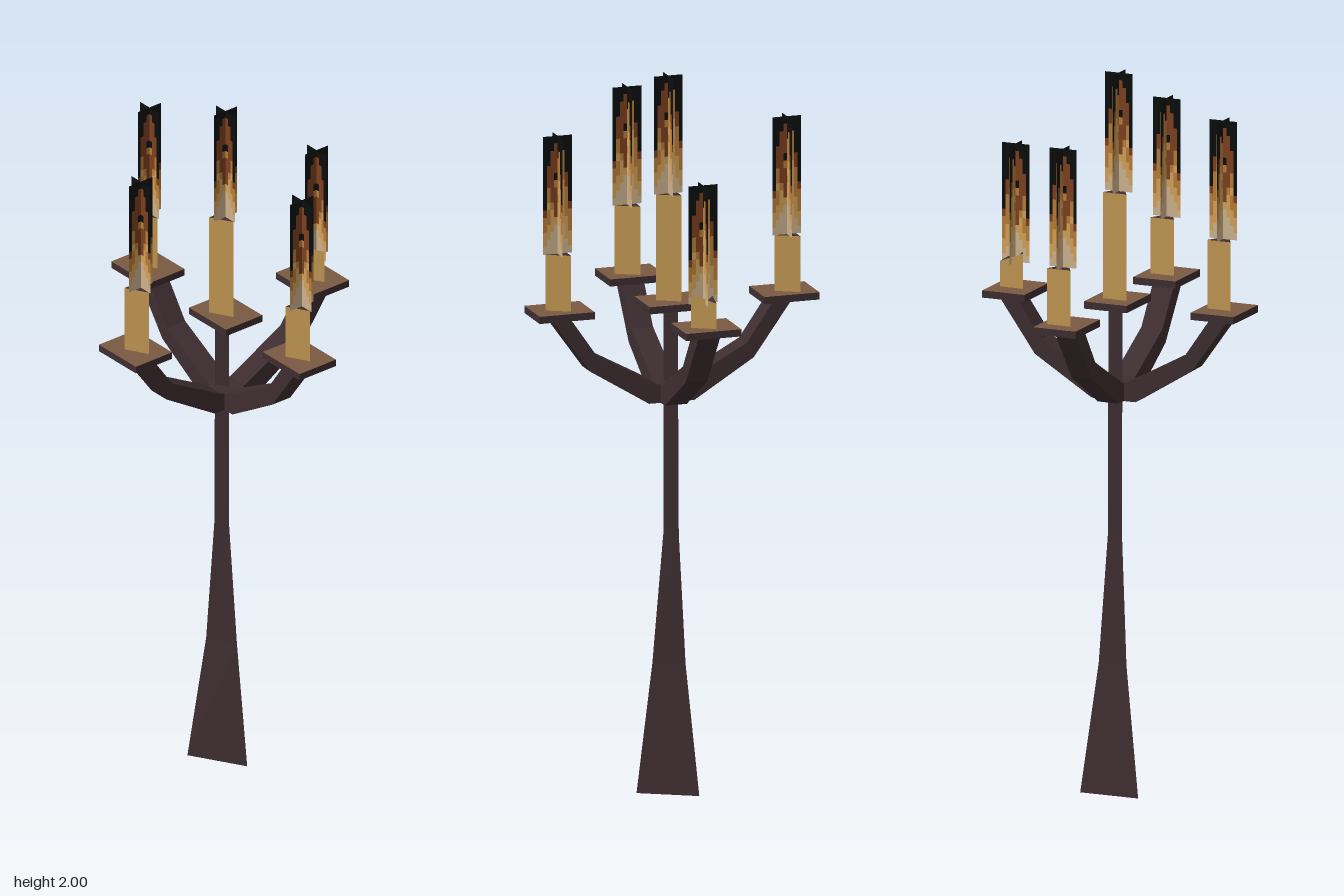
import * as THREE from 'three';

const paint = (name, color, side = THREE.FrontSide) => {
  const m = new THREE.MeshStandardMaterial({ color, side });
  m.name = name;
  return m;
};

function mesh(name, geometry, material) {
  const m = new THREE.Mesh(geometry, material);
  m.name = name;
  return m;
}

function fromTriangles(points) {
  const g = new THREE.BufferGeometry();
  g.setAttribute('position', new THREE.Float32BufferAttribute(points.flat(), 3));
  g.computeVertexNormals();
  return g;
}

// Three corners: back left, front, back right
const corners = (left, right, back, front, y) => {
  const ys = Array.isArray(y) ? y : [y, y, y];
  return [[left, ys[0], back], [(left + right) / 2, ys[1], front], [right, ys[2], back]];
};

// Flat-sided triangular walls through a list of sections
function walls(sections) {
  const pts = [];
  for (let s = 0; s < sections.length - 1; s++) {
    const lo = sections[s], hi = sections[s + 1];
    for (let i = 0; i < 3; i++) {
      const j = (i + 1) % 3;
      pts.push(lo[i], lo[j], hi[j], lo[i], hi[j], hi[i]);
    }
  }
  return pts;
}

// Triangular cap meeting at a middle point
function cap(c, midY) {
  const mid = [0, 1, 2].map((k) => (c[0][k] + c[1][k] + c[2][k]) / 3);
  mid[1] = midY;
  return [0, 1, 2].flatMap((i) => [c[i], c[(i + 1) % 3], mid]);
}

// Flame pattern, top row first
const FLAME = [
  'KKKKKKKK',
  'KKKRKKKK',
  'KKRRKOKK',
  'KKRROOKK',
  'KRRROOKK',
  'KRRKOORK',
  'KRROOTRK',
  'KORRTTOK',
  'KORROTOK',
  'KTORTTOR',
  'ROTRTTOO',
  'OOTTCTTO',
  'OTTCCCTO',
  'TTCCCCTT',
  'TCCCCCCT',
  'CCCCCCCC',
];
const FLAME_W = 0.082, FLAME_H = 0.33;

// One card's cells of a single colour, merged into runs along each row
function flameCells(key) {
  const pts = [];
  const dx = FLAME_W / 8, dy = FLAME_H / FLAME.length;
  FLAME.forEach((row, r) => {
    const y1 = FLAME_H - r * dy, y0 = y1 - dy;
    for (let c = 0; c < 8; c++) {
      if (row[c] !== key) continue;
      const start = c;
      while (c < 7 && row[c + 1] === key) c++;
      const x0 = start * dx - FLAME_W / 2, x1 = (c + 1) * dx - FLAME_W / 2;
      pts.push([x0, y0, 0], [x1, y0, 0], [x1, y1, 0], [x0, y0, 0], [x1, y1, 0], [x0, y1, 0]);
    }
  });
  return fromTriangles(pts);
}

export function createModel() {
  const model = new THREE.Group();
  model.name = 'candelabrum';

  const iron = paint('dark iron', 0x3d2d30);
  const trayTop = paint('brown tray', 0x7a5a42);
  const wax = paint('tan wax', 0xbf9550);
  const flamePaints = {
    K: paint('soot black', 0x0b0e0d, THREE.DoubleSide),
    R: paint('ember rust', 0x7c3f1f, THREE.DoubleSide),
    O: paint('flame orange', 0xb67c38, THREE.DoubleSide),
    T: paint('flame gold', 0xd2a158, THREE.DoubleSide),
    C: paint('flame cream', 0xcdb28e, THREE.DoubleSide),
  };

  // Three-sided stem flaring to the foot
  const stem = [
    corners(-0.083, 0.09, -0.05, 0.1, 0),
    corners(-0.037, 0.046, -0.026, 0.055, 0.36),
    corners(-0.018, 0.024, -0.014, 0.023, 0.72),
    corners(-0.018, 0.024, -0.011, 0.023, 1.36),
  ];
  const foot = cap(stem[0], 0).reverse();
  model.add(mesh('stem', fromTriangles([...walls(stem), ...foot]), iron));

  // Four bent arms
  const profile = new THREE.Shape([
    [0, 1.095], [0.065, 1.095], [0.235, 1.2], [0.348, 1.358],
    [0.295, 1.358], [0.215, 1.242], [0.04, 1.147], [0, 1.147],
  ].map(([x, y]) => new THREE.Vector2(x, y)));
  const armGeo = new THREE.ExtrudeGeometry(profile, { depth: 0.063, bevelEnabled: false });
  armGeo.translate(0, 0, -0.0315);
  for (let k = 0; k < 4; k++) {
    const arm = mesh('arm', armGeo, iron);
    arm.position.set(0.004, 0, 0.01);
    arm.rotation.y = k * Math.PI / 2;
    model.add(arm);
  }

  // Trays, candles and crossed flame cards
  const trayGeo = new THREE.BoxGeometry(0.127, 0.02, 0.158);
  const trayPaints = [iron, iron, trayTop, iron, iron, iron];
  const cells = Object.keys(flamePaints).map((key) => [flameCells(key), flamePaints[key]]);
  const holders = [
    { name: 'centre', tray: [0.005, 0.006], candle: [0.002, 0.013], top: 1.67 },
    { name: 'front', tray: [0.005, 0.321], candle: [0.008, 0.332], top: 1.53 },
    { name: 'back', tray: [0.003, -0.324], candle: [0.012, -0.324], top: 1.53 },
    { name: 'right', tray: [-0.313, 0.009], candle: [-0.304, 0.025], top: 1.565 },
    { name: 'left', tray: [0.309, 0.006], candle: [0.314, 0.021], top: 1.44, melted: true },
  ];
  for (const h of holders) {
    const holder = new THREE.Group();
    holder.name = h.name + 'Holder';
    const tray = mesh('tray', trayGeo, trayPaints);
    tray.position.set(h.tray[0], 1.364, h.tray[1]);
    holder.add(tray);

    const [cx, cz] = h.candle;
    // The melted candle has an uneven, sunken top
    const rim = h.melted ? [1.472, 1.468, 1.445] : h.top;
    const section = (y) => corners(cx - 0.035, cx + 0.035, cz - 0.031, cz + 0.031, y);
    holder.add(mesh('candle', fromTriangles(walls([section(1.37), section(rim)])), wax));
    holder.add(mesh('candleTop', fromTriangles(cap(section(rim), h.top)), iron));

    for (let k = 0; k < 2; k++) {
      const card = new THREE.Group();
      card.name = 'flameCard';
      for (const [geo, mat] of cells) card.add(mesh(mat.name, geo, mat));
      card.position.set(cx, h.top, cz - 0.004);
      card.rotation.y = k * Math.PI / 2;
      holder.add(card);
    }
    model.add(holder);
  }
  return model;
}
